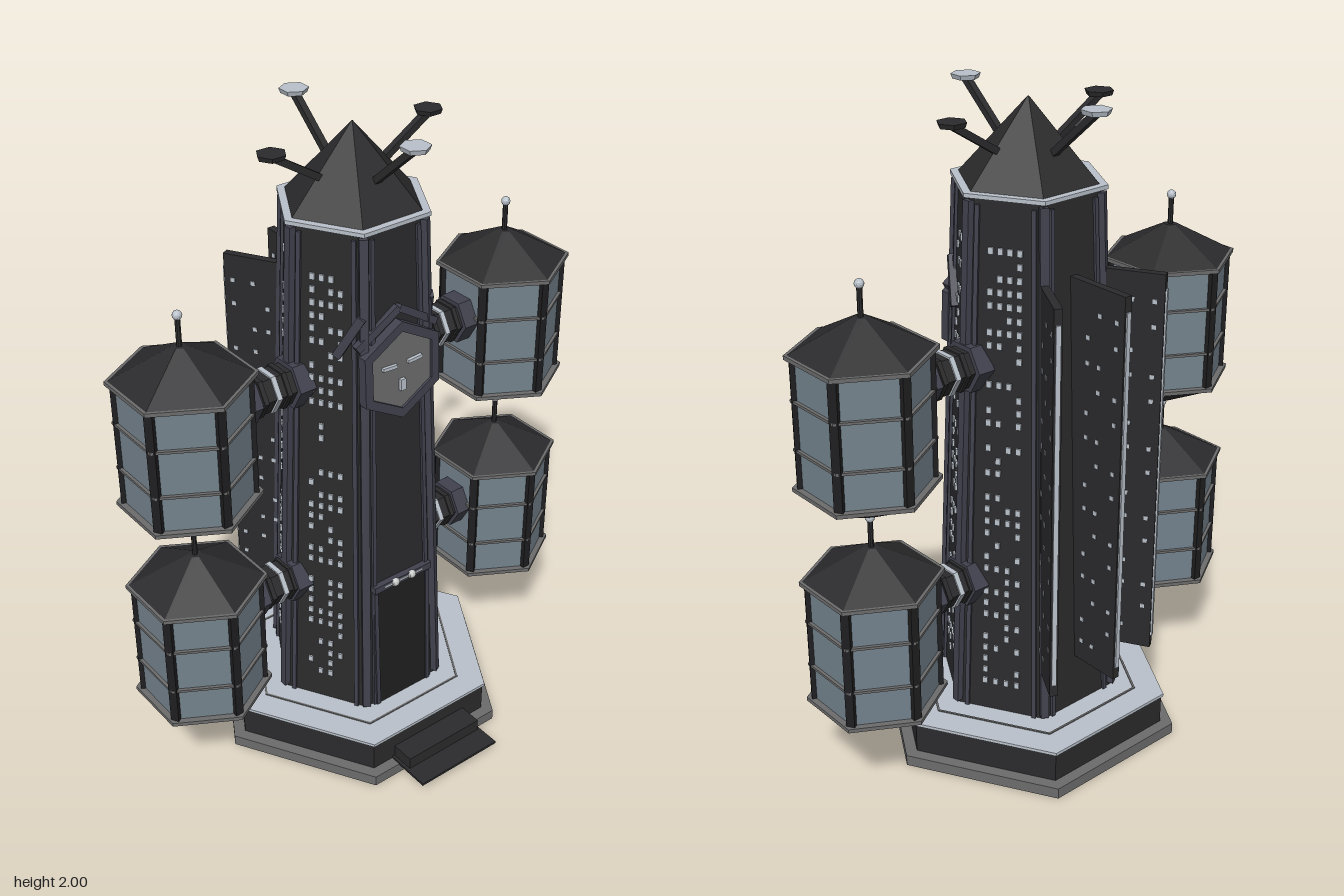
import * as THREE from 'three';
import { mergeGeometries } from 'three/addons/utils/BufferGeometryUtils.js';

const mat = (color) => new THREE.MeshStandardMaterial({ color, flatShading: true });
const DARK = mat(0x2b2b2d), BLACK = mat(0x1f1f21), RIB = mat(0x41424e), LIGHT = mat(0xb9c1ca);
const GREY = mat(0x6c6c6c), GLASS = mat(0x74838d), WHITE = mat(0xd8dadc);
const V = (x, y, z) => new THREE.Vector3(x, y, z);
const ZC = -0.06, BASE_Y = 0.14, HEIGHT = 1.61, R0 = 0.28, R1 = 0.21, C30 = Math.cos(Math.PI / 6);

function add(parent, name, geometry, material, x = 0, y = 0, z = 0) {
  const mesh = new THREE.Mesh(geometry, material);
  mesh.name = name;
  mesh.position.set(x, y, z);
  parent.add(mesh);
  return mesh;
}
function group(parent, name, x = 0, y = 0, z = 0) {
  const g = new THREE.Group();
  g.name = name;
  g.position.set(x, y, z);
  parent.add(g);
  return g;
}
const box = (p, name, w, h, d, m, x, y, z) => add(p, name, new THREE.BoxGeometry(w, h, d), m, x, y, z);
// Six-sided prism between two heights; corners point along z unless turned
function hex(p, name, rTop, rBottom, y0, y1, m, turned = false) {
  const geo = new THREE.CylinderGeometry(rTop, rBottom, y1 - y0, 6);
  if (turned) geo.rotateY(Math.PI / 6);
  return add(p, name, geo, m, 0, (y0 + y1) / 2, 0);
}
function hexRing(outer, inner, depth, turn) {
  const pts = (r) => Array.from({ length: 6 }, (_, i) => {
    const a = turn + i * Math.PI / 3;
    return new THREE.Vector2(r * Math.cos(a), r * Math.sin(a));
  });
  const shape = new THREE.Shape(pts(outer));
  shape.holes.push(new THREE.Path(pts(inner)));
  return new THREE.ExtrudeGeometry(shape, { depth, bevelEnabled: false });
}
// Bar between two points
function bar(p, name, a, b, w, m) {
  const mesh = add(p, name, new THREE.BoxGeometry(w, a.distanceTo(b), w), m);
  mesh.position.copy(a).add(b).multiplyScalar(0.5);
  mesh.quaternion.setFromUnitVectors(V(0, 1, 0), b.clone().sub(a).normalize());
  return mesh;
}
// Group lying on the sloping tower: z points outward, y runs up the slope
function slopeGroup(parent, name, degrees, bottom, top) {
  const turn = group(parent, name);
  turn.rotation.y = THREE.MathUtils.degToRad(degrees);
  const g = group(turn, name + 'Slope', 0, BASE_Y, bottom);
  g.rotation.x = -Math.atan((bottom - top) / HEIGHT);
  return g;
}
let seed = 7;
const rand = () => (seed = (seed * 16807) % 2147483647) / 2147483647;

function buildBase(root) {
  const base = group(root, 'base');
  hex(base, 'foundation', 0.485, 0.485, 0, 0.035, GREY, true);
  hex(base, 'plinth', 0.445, 0.445, 0.035, 0.13, DARK, true);
  hex(base, 'deck', 0.452, 0.452, 0.13, 0.14, LIGHT, true);
  const line = add(base, 'deckLine', hexRing(0.36, 0.353, 0.003, 0), GREY, 0, 0.14, 0);
  line.rotation.x = -Math.PI / 2;
  box(base, 'step', 0.28, 0.045, 0.09, DARK, 0, 0.0575, 0.355 - ZC);
  box(base, 'entryPlate', 0.3, 0.008, 0.15, DARK, 0, 0.036, 0.4 - ZC);
}

function buildFaceWindows(face) {
  const parts = [];
  for (let row = 0; row < 36; row++) {
    const y = 0.1 + row * 0.039;
    for (let col = 0; col < 4; col++) {
      if (rand() < 0.48) continue;
      const u = (col - 1.5) * 0.034 * (1 - 0.2 * y / HEIGHT);
      parts.push(new THREE.BoxGeometry(0.015, 0.019, 0.008).translate(u, y, 0.002));
    }
  }
  add(face, 'windows', mergeGeometries(parts), LIGHT);
}

function buildTower(root) {
  const tower = group(root, 'tower');
  hex(tower, 'shaft', R1, R0, BASE_Y, BASE_Y + HEIGHT, DARK, true);
  for (let k = 0; k < 6; k++) {
    const corner = slopeGroup(tower, 'cornerRib', 30 + k * 60, R0, R1);
    box(corner, 'rib', 0.025, HEIGHT - 0.02, 0.024, RIB, 0, HEIGHT / 2, 0);
    const face = slopeGroup(tower, 'wall', k * 60, R0 * C30, R1 * C30);
    // Slim strips beside the corners follow the taper
    for (const s of [-1, 1]) {
      bar(face, 'wallStrip', V(s * 0.108, 0, 0.002), V(s * 0.08, HEIGHT - 0.02, 0.002), 0.013, RIB);
    }
    if (k % 3 !== 0) buildFaceWindows(face);
    if (k === 0) buildFront(face);
    // Braces beside the emblem
    if (k === 1 || k === 5) {
      const s = k === 1 ? -1 : 1;
      bar(face, 'emblemBrace', V(s * 0.11, 1.37, 0.008), V(s * 0.035, 1.24, 0.008), 0.025, RIB);
    }
  }
}

function buildFront(face) {
  // Entrance
  box(face, 'door', 0.19, 0.43, 0.012, BLACK, 0, 0.215, 0.004);
  for (const s of [-1, 1]) {
    box(face, 'doorPost', 0.014, 0.43, 0.02, RIB, s * 0.1, 0.215, 0.004);
    const lamp = add(face, 'doorLamp', new THREE.SphereGeometry(0.014, 10, 8), WHITE, s * 0.032, 0.452, 0.022);
    lamp.scale.z = 0.8;
  }
  box(face, 'lintel', 0.22, 0.022, 0.03, RIB, 0, 0.45, 0.006);
  box(face, 'lampStrip', 0.15, 0.007, 0.012, LIGHT, 0, 0.452, 0.018);
  // Six-sided emblem plate
  const emblem = group(face, 'emblem', 0, 1.178, 0);
  add(emblem, 'emblemFrame', hexRing(0.153, 0.122, 0.03, Math.PI / 6), RIB);
  const plate = hex(emblem, 'emblemPlate', 0.124, 0.124, 0, 0.022, GREY);
  plate.rotation.x = Math.PI / 2;
  plate.position.set(0, 0, 0.011);
  for (const s of [-1, 1]) {
    box(emblem, 'emblemSlot', 0.05, 0.01, 0.014, LIGHT, s * 0.045, 0.022, 0.026).rotation.z = s * 0.06;
    bar(emblem, 'emblemChevron', V(0, 0.19, 0.01), V(s * 0.14, 0.1, 0), 0.022, RIB);
  }
  box(emblem, 'emblemLight', 0.018, 0.035, 0.014, LIGHT, 0, -0.045, 0.026);
}

function buildRoof(root) {
  const roof = group(root, 'roof');
  hex(roof, 'roofRim', 0.23, 0.23, 1.748, 1.76, LIGHT, true);
  hex(roof, 'spire', 0.002, 0.205, 1.76, 1.985, DARK, true);
  for (let k = 0; k < 4; k++) {
    const antenna = group(roof, 'antenna');
    antenna.rotation.y = k * Math.PI / 2;
    const side = k % 2, y = side ? 1.95 : 1.99;
    bar(antenna, 'antennaArm', V(0, 1.845, 0.1), V(0, y - 0.004, 0.262), 0.02, DARK);
    const dish = hex(antenna, 'antennaDish', 0.043, 0.038, y - 0.004, y + 0.01, side ? DARK : LIGHT);
    dish.position.z = 0.265;
  }
}

function buildPod(root, side, y) {
  const pod = group(root, 'pod', side * 0.58, y, 0);
  hex(pod, 'podGlass', 0.186, 0.186, 0, 0.39, GLASS);
  for (let k = 0; k < 6; k++) {
    const a = k * Math.PI / 3;
    const post = box(pod, 'podPost', 0.026, 0.39, 0.018, BLACK, 0.184 * Math.sin(a), 0.195, 0.184 * Math.cos(a));
    post.rotation.y = a;
  }
  for (const h of [0.12, 0.265]) hex(pod, 'podBand', 0.197, 0.197, h - 0.004, h + 0.004, GREY);
  for (const h of [0, 0.39]) hex(pod, 'podRim', 0.207, 0.207, h - 0.006, h + 0.006, GREY);
  hex(pod, 'podRoof', 0.02, 0.205, 0.392, 0.49, DARK);
  hex(pod, 'podFloor', 0.205, 0.02, -0.1, -0.002, DARK);
  add(pod, 'podMast', new THREE.CylinderGeometry(0.008, 0.008, 0.1, 8), DARK, 0, 0.535, 0);
  add(pod, 'podMastBall', new THREE.SphereGeometry(0.014, 12, 8), LIGHT, 0, 0.581, 0);
  // Bridge to the tower: radius and x range of each section
  const bridge = group(root, 'bridge', 0, y + 0.25, 0);
  const sections = [[0.076, 0.37, 0.42, RIB], [0.062, 0.2, 0.4, DARK], [0.068, 0.3, 0.316, LIGHT],
    [0.068, 0.345, 0.36, DARK], [0.068, 0.265, 0.28, DARK], [0.078, 0.19, y > 0.8 ? 0.245 : 0.27, RIB]];
  for (const [r, x0, x1, m] of sections) {
    const section = hex(bridge, 'bridgeSection', r, r, x0, x1, m);
    section.rotation.z = Math.PI / 2;
    section.position.set(side * (x0 + x1) / 2, 0, 0);
  }
}

function buildFin(root, degrees) {
  const fin = group(root, 'fin');
  fin.rotation.y = THREE.MathUtils.degToRad(degrees);
  box(fin, 'finPanel', 0.024, 1.215, 0.22, DARK, 0, 0.918, 0.293);
  box(fin, 'finLightStrip', 0.014, 1.13, 0.008, LIGHT, 0, 0.915, 0.404);
  const lights = [];
  for (let row = 0; row < 15; row++) {
    [0.265, 0.31, 0.375].forEach((z, col) => {
      if ((row + col) % 3 === 2) return;
      lights.push(new THREE.BoxGeometry(0.028, 0.013, 0.013).translate(0, 0.38 + row * 0.076, z));
    });
  }
  add(fin, 'finWindows', mergeGeometries(lights), LIGHT);
}

export function createModel() {
  const model = new THREE.Group();
  model.name = 'towerStation';
  const root = group(model, 'station', 0, 0, ZC);
  buildBase(root);
  buildTower(root);
  buildRoof(root);
  for (const side of [-1, 1]) for (const y of [0.32, 1.01]) buildPod(root, side, y);
  for (const degrees of [150, 180, 210]) buildFin(root, degrees);
  return model;
}
